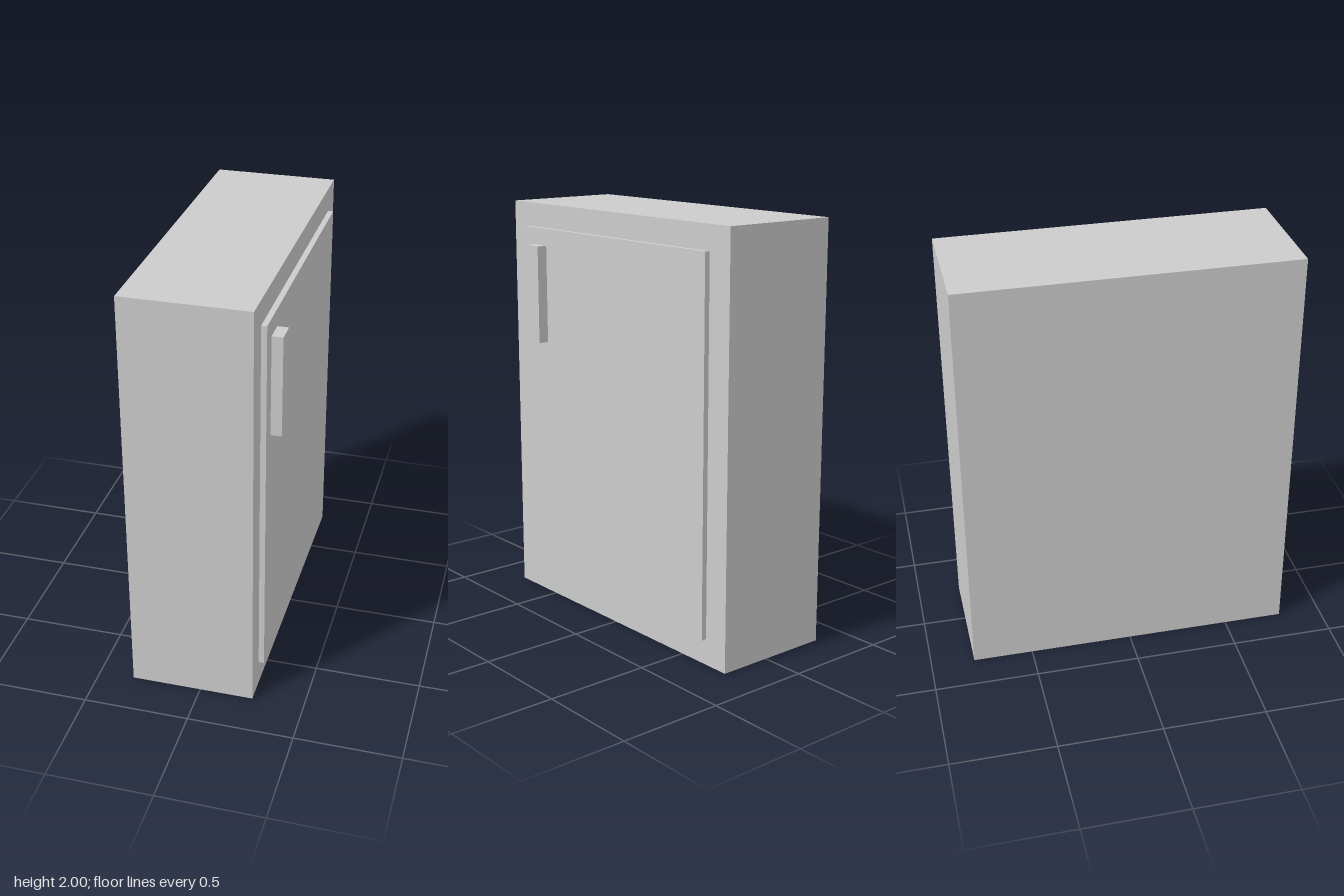
import * as THREE from 'three';

const material = new THREE.MeshStandardMaterial({ color: 0xcccccc, flatShading: true });

// Box given by its extents along each axis
function box(name, [x0, x1], [y0, y1], [z0, z1]) {
  const mesh = new THREE.Mesh(new THREE.BoxGeometry(x1 - x0, y1 - y0, z1 - z0), material);
  mesh.position.set((x0 + x1) / 2, (y0 + y1) / 2, (z0 + z1) / 2);
  mesh.name = name;
  return mesh;
}

export function createModel() {
  const group = new THREE.Group();
  group.name = 'cabinet';

  const bodyFace = 0.255, doorFace = 0.281, handleFace = 0.332;

  // Cabinet body
  group.add(box('body', [-0.332, bodyFace], [0, 2], [-0.79, 0.79]));
  // Door panel standing proud of the +x side
  group.add(box('door', [bodyFace, doorFace], [0.125, 1.885], [-0.662, 0.672]));
  // Upright handle near the door's front edge
  group.add(box('handle', [doorFace, handleFace], [1.328, 1.803], [0.494, 0.595]));

  return group;
}
